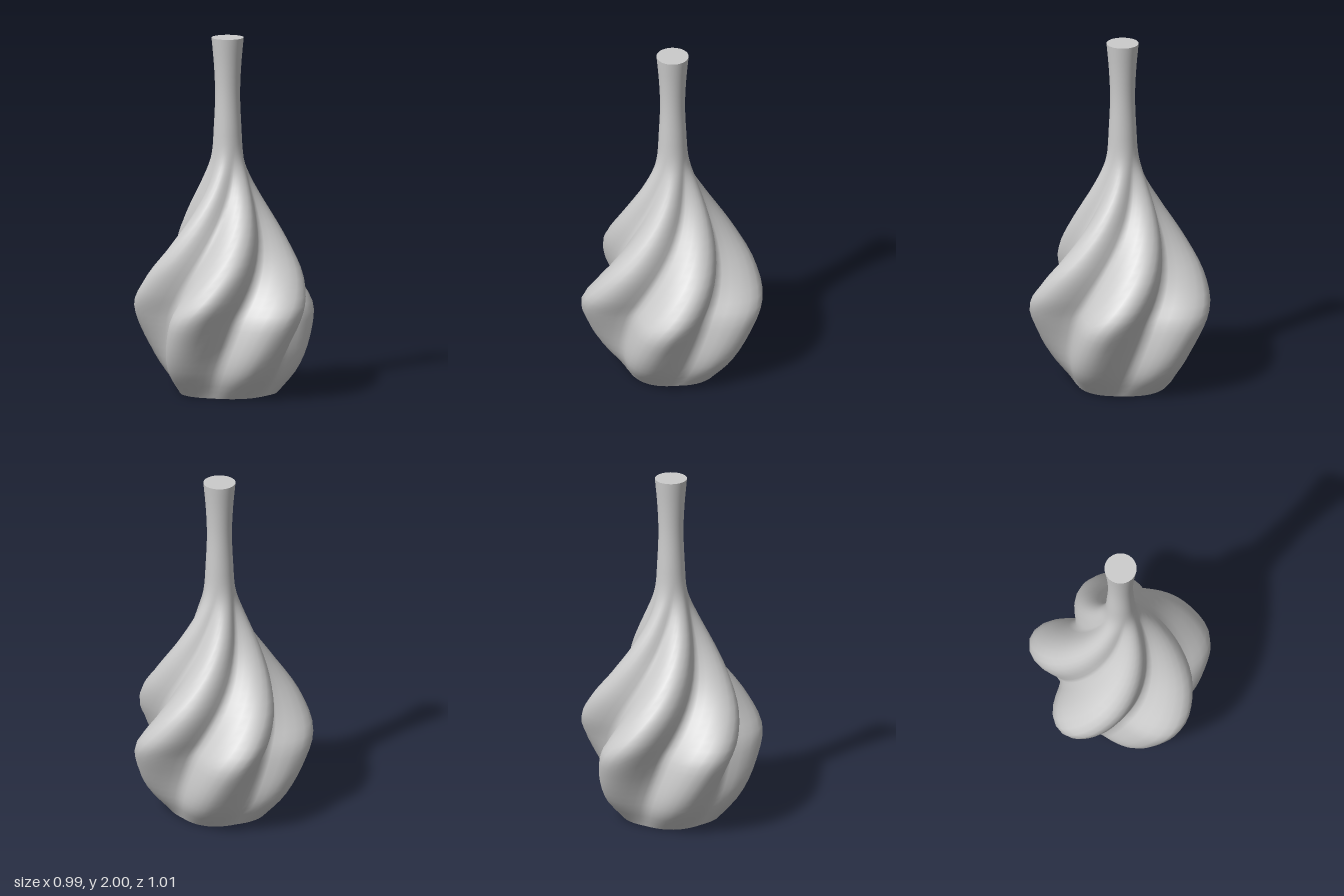
import * as THREE from 'three';

const LOBES = 5, SEGMENTS = 60, ROWS = 44;
const WIDEST = 0.46; // height where the lobes bulge most

// Each station: crest radius, height, valley radius
const profile = new THREE.CatmullRomCurve3([
  [0.28, 0, 0.265], [0.4, 0.14, 0.325], [0.485, 0.32, 0.34], [0.525, 0.48, 0.335],
  [0.465, 0.65, 0.305], [0.35, 0.84, 0.245], [0.24, 1.02, 0.175], [0.142, 1.2, 0.115],
  [0.092, 1.33, 0.088], [0.077, 1.5, 0.077], [0.07, 1.68, 0.07], [0.076, 1.84, 0.076], [0.09, 2, 0.09],
].map(p => new THREE.Vector3(...p)));

// Direction of the first lobe at a height: the spiral is slower below the widest part
function lobeAngle(y) {
  const rise = Math.min(y, 1.4) - WIDEST;
  return THREE.MathUtils.degToRad(4 - rise * (rise > 0 ? 96 : 60));
}

// One ring of the twisted cross-section: broad lobes, narrower valleys
function ring(t) {
  const { x: crest, y, z: valley } = profile.getPoint(t);
  const points = [];
  for (let j = 0; j < SEGMENTS; j++) {
    const phi = (j / SEGMENTS) * Math.PI * 2;
    const wave = Math.pow(Math.abs(Math.cos(LOBES * phi / 2)), 1.45);
    const r = valley + (crest - valley) * wave;
    const a = phi + lobeAngle(y);
    points.push(new THREE.Vector3(r * Math.cos(a), y, r * Math.sin(a)));
  }
  return points;
}

function build(points, index) {
  const geometry = new THREE.BufferGeometry().setFromPoints(points);
  geometry.setIndex(index);
  geometry.computeVertexNormals();
  return geometry;
}

// Skin joining all rings
function bodyGeometry() {
  const points = [], index = [];
  for (let i = 0; i <= ROWS; i++) points.push(...ring(i / ROWS));
  for (let i = 0; i < ROWS; i++) {
    for (let j = 0; j < SEGMENTS; j++) {
      const k = (j + 1) % SEGMENTS;
      const a = i * SEGMENTS + j, b = i * SEGMENTS + k;
      const c = a + SEGMENTS, d = b + SEGMENTS;
      index.push(a, c, b, b, c, d);
    }
  }
  return build(points, index);
}

// Flat lid closing an end ring
function capGeometry(t, facingUp) {
  const points = ring(t), index = [];
  points.push(new THREE.Vector3(0, points[0].y, 0));
  for (let j = 0; j < SEGMENTS; j++) {
    const k = (j + 1) % SEGMENTS;
    index.push(SEGMENTS, facingUp ? k : j, facingUp ? j : k);
  }
  return build(points, index);
}

export function createModel() {
  const group = new THREE.Group();
  group.name = 'twistedVase';
  const material = new THREE.MeshStandardMaterial({ color: 0xcccccc });
  const parts = { body: bodyGeometry(), mouth: capGeometry(1, true), base: capGeometry(0, false) };
  for (const [name, geometry] of Object.entries(parts)) {
    const mesh = new THREE.Mesh(geometry, material);
    mesh.name = name;
    mesh.position.set(-0.025, 0, -0.01); // neck axis sits slightly off the centre of the lobes
    group.add(mesh);
  }
  return group;
}
